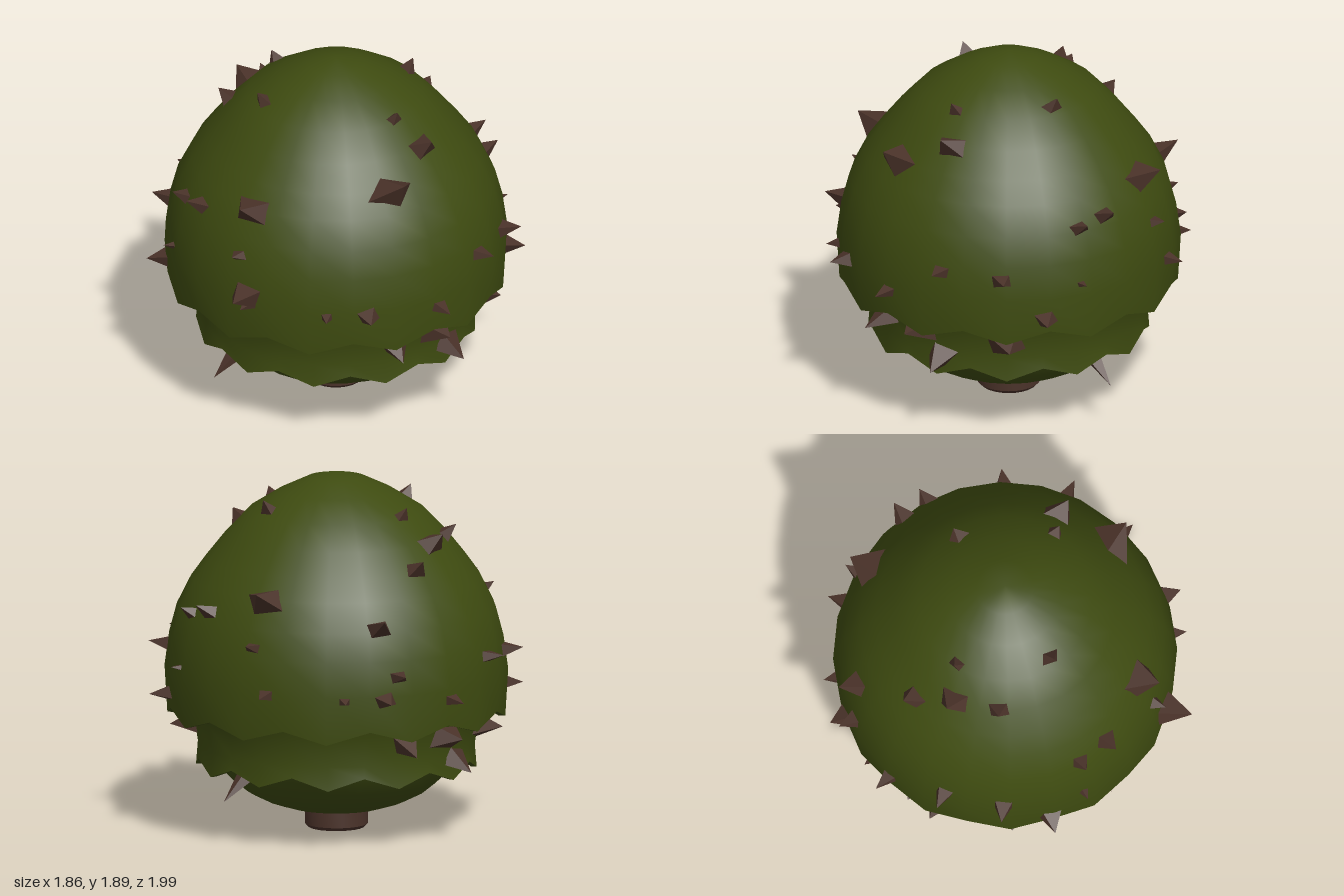
import * as THREE from 'three';
import { toCreasedNormals } from 'three/addons/utils/BufferGeometryUtils.js';

const SIDES = 24;

// Profiles as [radius, y], rising
const UPPER = [[0.885, 0.63], [0.9, 0.85], [0.875, 1.03], [0.835, 1.18], [0.76, 1.33], [0.68, 1.44],
  [0.58, 1.565], [0.46, 1.69], [0.3, 1.79], [0.15, 1.86], [0, 1.89]];
const MIDDLE = [[0.735, 0.355], [0.725, 0.45], [0.75, 0.6], [0.8, 0.72], [0.88, 0.88]];
const BOWL = [[0, 0.1], [0.17, 0.1], [0.26, 0.115], [0.37, 0.15], [0.47, 0.2], [0.55, 0.265],
  [0.62, 0.34], [0.67, 0.44], [0.71, 0.6]];

// Spikes: [azimuth from front in degrees, y, base radius, length, droop]
const PAIRED = [
  [8, 1.7, 0.065, 0.06, 0], [16, 1.56, 0.105, 0.1, 0], [78, 1.72, 0.075, 0.07, 0],
  [109, 1.32, 0.12, 0.13, 0], [72, 1.2, 0.065, 0.08, 0], [84, 1.23, 0.07, 0.1, 0],
  [108, 1.09, 0.055, 0.07, 0], [71, 0.91, 0.035, 0.05, 0], [114, 0.85, 0.055, 0.08, 0],
  [59, 0.74, 0.075, 0.1, 0], [43, 0.96, 0.07, 0.1, 0], [22, 0.98, 0.06, 0.1, 0],
  [1, 0.8, 0.055, 0.1, 0], [-25, 0.83, 0.075, 0.09, 0], [-39, 0.83, 0.045, 0.06, 0],
  [-12, 0.56, 0.09, 0.15, 0.35], [8, 0.57, 0.12, 0.13, 0], [44, 0.55, 0.12, 0.13, 0.1],
  [17, 0.43, 0.09, 0.13, 0.5],
];
const SINGLE = [
  [-12, 1.43, 0.13, 0.14, 0], [178, 1.46, 0.085, 0.09, 0], [-140, 1.57, 0.08, 0.08, 0],
  [-68, 0.89, 0.1, 0.15, 0], [154, 1.2, 0.08, 0.12, 0], [160, 0.95, 0.06, 0.09, 0],
];

// Double-walled shell of revolution with a zigzag lower rim
function shellGeometry(profile, thickness, wave) {
  const inner = [[profile[1][0] - thickness, profile[1][1]], [profile[0][0] - thickness, profile[0][1]]];
  const points = [...inner, ...profile].map(([r, y]) => new THREE.Vector2(r, y));
  const geo = new THREE.LatheGeometry(points, SIDES);
  const pos = geo.attributes.position;
  for (let i = 0; i <= SIDES; i++) {
    for (const j of [1, 2]) {
      const k = i * points.length + j;
      pos.setY(k, pos.getY(k) + (i % 2 ? -wave : wave));
    }
  }
  return toCreasedNormals(geo, 0.6);
}

// Radius and slope of a profile at height y
function sample(profile, y) {
  let i = 0;
  while (i < profile.length - 2 && profile[i + 1][1] < y) i++;
  const [r0, y0] = profile[i], [r1, y1] = profile[i + 1];
  const t = (y - y0) / (y1 - y0);
  return { r: r0 + (r1 - r0) * t, slope: (r0 - r1) / (y1 - y0) };
}

let seed = 7;
const rand = () => (seed = (seed * 16807) % 2147483647) / 2147483647;

// Irregular four-sided faceted pyramid, base sunk below y = 0
function spikeGeometry(radius, length) {
  const sunk = 0.04;
  const geo = new THREE.ConeGeometry(radius * 1.1, length + sunk, 4, 1);
  geo.rotateY(rand() * 0.9 + 0.3);
  geo.scale(1.1, 1, 0.75);
  geo.translate(0, (length - sunk) / 2, 0);
  const lean = (rand() - 0.5) * radius * 0.7;
  const pos = geo.attributes.position;
  for (let i = 0; i < pos.count; i++) if (pos.getY(i) > 0) pos.setX(i, pos.getX(i) + lean);
  const flat = geo.toNonIndexed();
  flat.computeVertexNormals();
  return flat;
}

export function createModel() {
  const model = new THREE.Group();
  const green = new THREE.MeshStandardMaterial({ color: 0x3e4b10 });
  green.name = 'mossGreen';
  const brown = new THREE.MeshStandardMaterial({ color: 0x4a3229 });
  brown.name = 'barkBrown';

  const body = new THREE.Group();
  body.name = 'body';
  body.position.x = 0.01;
  model.add(body);
  const add = (name, geo, mat, parent = body) => {
    const mesh = new THREE.Mesh(geo, mat);
    mesh.name = name;
    parent.add(mesh);
    return mesh;
  };

  // Layered husk and inner bowl
  add('upperShell', shellGeometry(UPPER, 0.035, 0.033), green);
  add('middleShell', shellGeometry(MIDDLE, 0.03, 0.032), green);
  const lathe = (profile, n) => new THREE.LatheGeometry(profile.map(([r, y]) => new THREE.Vector2(r, y)), n);
  add('innerBowl', lathe(BOWL, SIDES), green);

  // Stem with a chamfered foot
  const stem = lathe([[0, 0], [0.148, 0], [0.165, 0.018], [0.165, 0.13]], SIDES);
  add('stem', toCreasedNormals(stem, 0.5), brown);

  // Spikes standing out from the shells
  const spikes = new THREE.Group();
  spikes.name = 'spikes';
  body.add(spikes);
  const placeSpike = (name, azimuth, y, r, slope, radius, length, droop) => {
    const a = THREE.MathUtils.degToRad(azimuth);
    const mesh = add(name, spikeGeometry(radius, length), brown, spikes);
    const out = new THREE.Vector3(Math.sin(a), slope - droop, Math.cos(a)).normalize();
    const side = new THREE.Vector3(Math.cos(a), 0, -Math.sin(a));
    const across = new THREE.Vector3().crossVectors(side, out);
    mesh.quaternion.setFromRotationMatrix(new THREE.Matrix4().makeBasis(side, out, across));
    mesh.position.set(Math.sin(a) * r, y, Math.cos(a) * r);
  };
  const all = [...SINGLE];
  for (const s of PAIRED) all.push(s, [s[0] + 180, ...s.slice(1)]);
  for (const [azimuth, y, radius, length, droop] of all) {
    const { r, slope } = sample(y < 0.62 ? MIDDLE : UPPER, y);
    placeSpike('spike', azimuth, y, r, y < 0.62 ? 0 : slope, radius, length, droop);
  }

  // Long drooping thorns on both sides
  for (const azimuth of [90, -90]) placeSpike('sideThorn', azimuth, 0.34, 0.64, 0, 0.055, 0.18, 0.85);

  return model;
}
